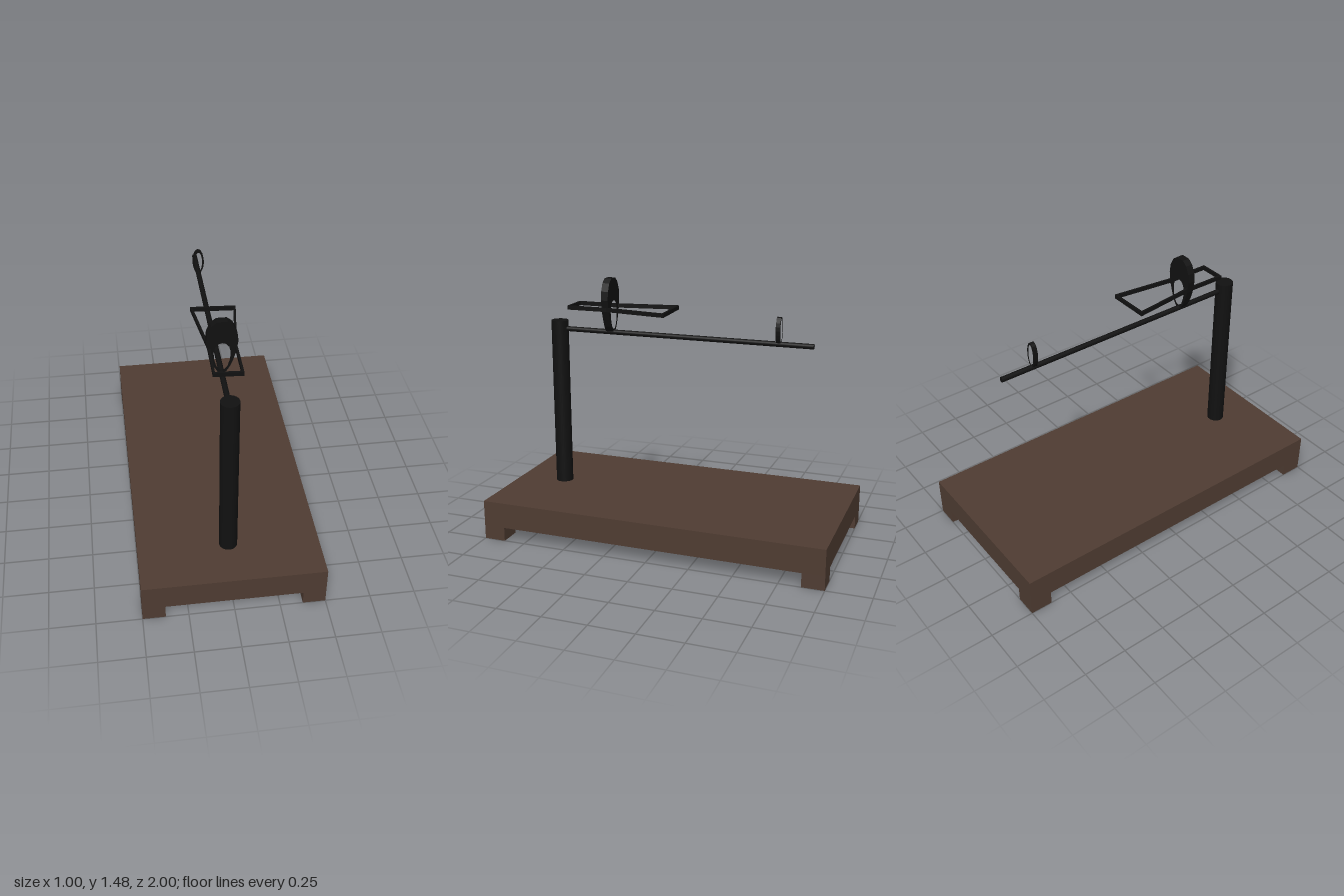
import * as THREE from 'three';

const wood = new THREE.MeshStandardMaterial({ color: 0x4f3c32 });
const iron = new THREE.MeshStandardMaterial({ color: 0x111111 });
const V = (x, y, z) => new THREE.Vector3(x, y, z);

function add(parent, name, geometry, material, x = 0, y = 0, z = 0) {
  const mesh = new THREE.Mesh(geometry, material);
  mesh.name = name;
  mesh.position.set(x, y, z);
  parent.add(mesh);
  return mesh;
}

// Closed outline from its right half, listed from top to bottom
function mirrored(half) {
  const left = half.filter(([x]) => x > 0).reverse().map(([x, y]) => [-x, y]);
  return [...half, ...left].map(([x, y]) => new THREE.Vector2(x, y));
}

// Flat upright loop with a hole, centred on its own z
function loopPlate(outer, inner, depth) {
  const shape = new THREE.Shape(mirrored(outer));
  shape.holes.push(new THREE.Path(mirrored(inner)));
  return new THREE.ExtrudeGeometry(shape, { depth, bevelEnabled: false }).translate(0, 0, -depth / 2);
}

// Right half of an ellipse, as a list of points
function halfEllipse(rx, ry, cy, n = 10) {
  return Array.from({ length: n + 1 }, (_, i) => {
    const a = (i / n) * Math.PI;
    return [i % n ? rx * Math.sin(a) : 0, cy + ry * Math.cos(a)];
  });
}

export function createModel() {
  const model = new THREE.Group();
  model.name = 'standWithArm';

  // Wooden base on four square feet
  const base = new THREE.Group();
  base.name = 'base';
  model.add(base);
  add(base, 'slab', new THREE.BoxGeometry(1, 0.15, 2), wood, 0, 0.155, 0);
  for (const sx of [-1, 1]) {
    for (const sz of [-1, 1]) {
      add(base, 'foot', new THREE.BoxGeometry(0.125, 0.08, 0.125), wood, sx * 0.4375, 0.04, sz * 0.9375);
    }
  }

  // Upright post and horizontal arm
  add(model, 'post', new THREE.CylinderGeometry(0.05, 0.05, 0.99, 32), iron, 0, 0.725, 0.725);
  const arm = new THREE.CylinderGeometry(0.015, 0.015, 1.515, 12).rotateX(Math.PI / 2);
  add(model, 'arm', arm, iron, 0, 1.171, -0.0325);

  // Large loop: heavy at the top, tapering to the arm
  const outer = [[0.027, 1.483], [0.056, 1.46], [0.077, 1.415], [0.083, 1.365],
    [0.073, 1.3], [0.058, 1.252], [0.041, 1.21], [0.022, 1.18], [0, 1.17]];
  const inner = [[0, 1.356], [0.02, 1.35], [0.036, 1.331], [0.044, 1.3],
    [0.041, 1.257], [0.029, 1.215], [0.014, 1.195], [0, 1.19]];
  add(model, 'largeLoop', loopPlate(outer, inner, 0.042), iron, 0.002, 0, 0.4);

  // Small thin loop near the free end
  const ring = loopPlate(halfEllipse(0.033, 0.075, 1.247), halfEllipse(0.022, 0.063, 1.247), 0.024);
  add(model, 'smallLoop', ring, iron, 0, 0, -0.595);

  // Flat wire frame passing through the large loop, flaring to the back
  const frame = new THREE.Group();
  frame.name = 'wireFrame';
  model.add(frame);
  const corners = [
    V(-0.067, 1.315, 0.623), V(-0.065, 1.315, 0.39), V(-0.111, 1.317, 0.029),
    V(0.123, 1.31, 0.033), V(0.077, 1.312, 0.39), V(0.077, 1.312, 0.627),
  ];
  corners.forEach((from, i) => {
    const to = corners[(i + 1) % corners.length];
    const bar = new THREE.BoxGeometry(0.012, 0.023, from.distanceTo(to) + 0.011);
    const mid = from.clone().add(to).multiplyScalar(0.5);
    add(frame, 'frameBar', bar, iron, mid.x, mid.y, mid.z).lookAt(to);
  });

  return model;
}
